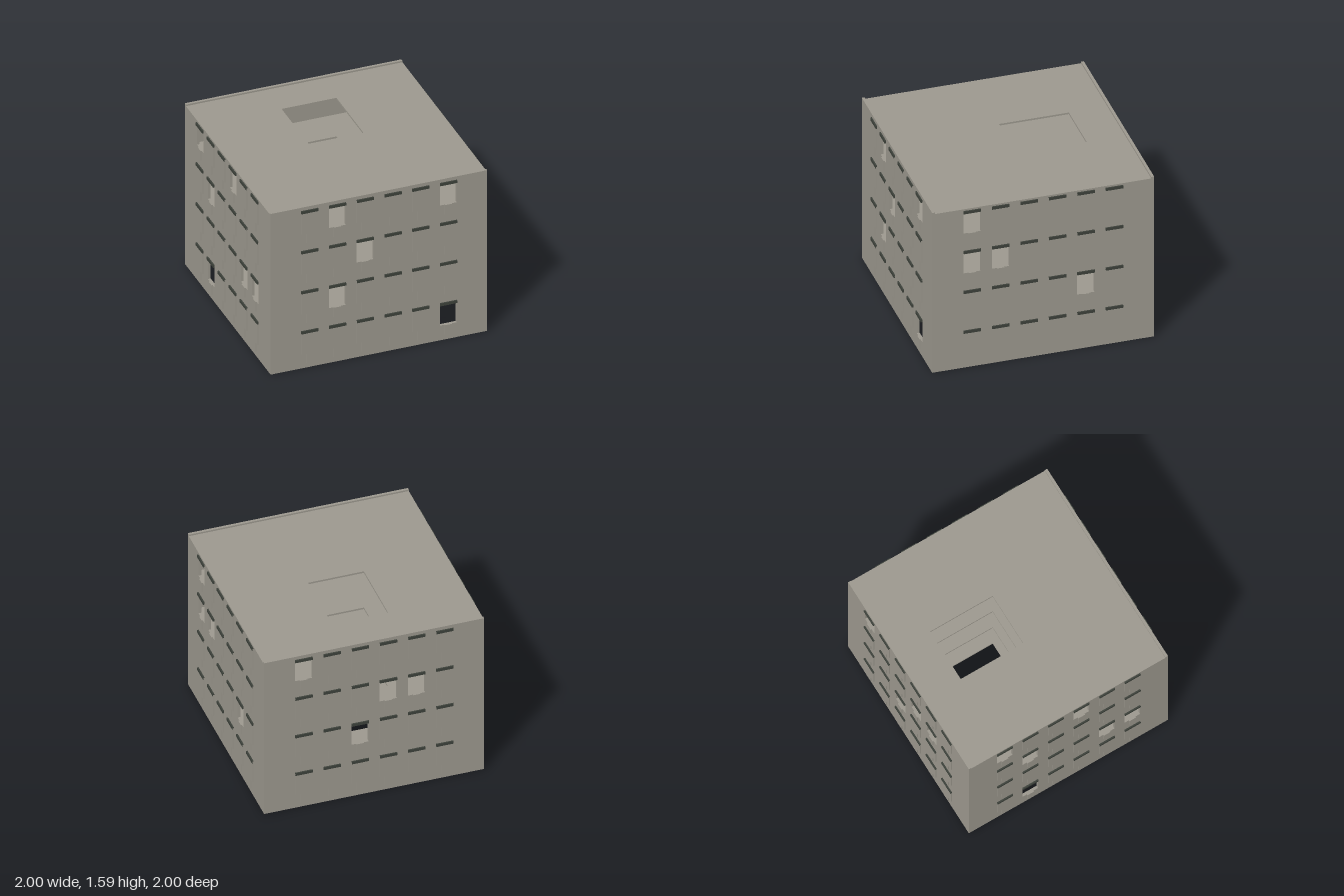
import * as THREE from 'three';

const HALF = 0.987, THICK = 0.025, STOREY = 0.395;
const COLS = 6, PITCH = 0.253, WIN_W = 0.154;
const SILL = 0.145, HEAD = 0.365;

function rectPath(x0, y0, x1, y1, Type = THREE.Path) {
  const p = new Type();
  p.moveTo(x0, y0);
  p.lineTo(x1, y0);
  p.lineTo(x1, y1);
  p.lineTo(x0, y1);
  p.closePath();
  return p;
}

export function createModel() {
  const model = new THREE.Group();
  model.name = 'building';
  const concrete = new THREE.MeshStandardMaterial({ color: 0x9c988e });
  concrete.name = 'concrete grey';
  const dark = new THREE.MeshStandardMaterial({ color: 0x3d423b });
  dark.name = 'dark hood grey';

  const add = (parent, name, geometry, material, x = 0, y = 0, z = 0) => {
    const mesh = new THREE.Mesh(geometry, material);
    mesh.name = name;
    mesh.position.set(x, y, z);
    parent.add(mesh);
    return mesh;
  };

  const panelGeo = new THREE.BoxGeometry(WIN_W, HEAD - SILL, THICK + 0.015);
  const stemGeo = new THREE.BoxGeometry(0.065, 0.095, 0.02);
  const hoodGeo = new THREE.BoxGeometry(WIN_W, 0.026, 0.024);

  // One facade facing +z; open[row] lists the open columns, top row first
  function facade(name, angle, half, top, open) {
    const g = new THREE.Group();
    g.name = name;
    g.rotation.y = angle;
    const shape = rectPath(-half, 0, half, top, THREE.Shape);
    for (let row = 0; row < 4; row++) {
      const base = (3 - row) * STOREY;
      for (let col = 0; col < COLS; col++) {
        const x = (col - (COLS - 1) / 2) * PITCH;
        if (open[row].includes(col)) {
          // Open window
          shape.holes.push(rectPath(x - WIN_W / 2, base + SILL, x + WIN_W / 2, base + HEAD - 0.01));
        } else {
          // Closed window panel, standing proud inside and outside
          add(g, 'windowPanel', panelGeo, concrete, x, base + (SILL + HEAD) / 2 - 0.005, HALF - THICK / 2 + 0.0025);
        }
        add(g, 'windowStem', stemGeo, concrete, x, base + SILL - 0.0475, HALF);
        add(g, 'windowHood', hoodGeo, dark, x, base + HEAD - 0.01, HALF + 0.001);
      }
    }
    const wall = new THREE.ExtrudeGeometry(shape, { depth: THICK, bevelEnabled: false });
    add(g, name + 'Wall', wall, concrete, 0, 0, HALF - THICK);
    model.add(g);
  }

  const roofTop = 1.57;
  facade('front', 0, HALF, 1.585, [[1, 5], [2], [1], [5]]);
  facade('back', Math.PI, HALF, 1.585, [[0], [3, 4], [2], []]);
  facade('left', Math.PI / 2, HALF - THICK, roofTop, [[0], [0, 1], [4], []]);
  facade('right', -Math.PI / 2, HALF - THICK, roofTop, [[0, 3], [1], [4, 5], [1]]);

  // Floor slabs and roof, each with the same shaft opening
  const inner = HALF - THICK;
  const slab = rectPath(-inner, -inner, inner, inner, THREE.Shape);
  slab.holes.push(rectPath(-0.25, 0, 0.25, 0.62));
  const slabGeo = new THREE.ExtrudeGeometry(slab, { depth: 0.016, bevelEnabled: false });
  slabGeo.rotateX(-Math.PI / 2);
  for (let i = 1; i <= 4; i++) {
    const y = i === 4 ? roofTop - 0.016 : i * STOREY - 0.012;
    add(model, i === 4 ? 'roofSlab' : 'floorSlab', slabGeo, concrete, 0, y, 0);
  }
  return model;
}
